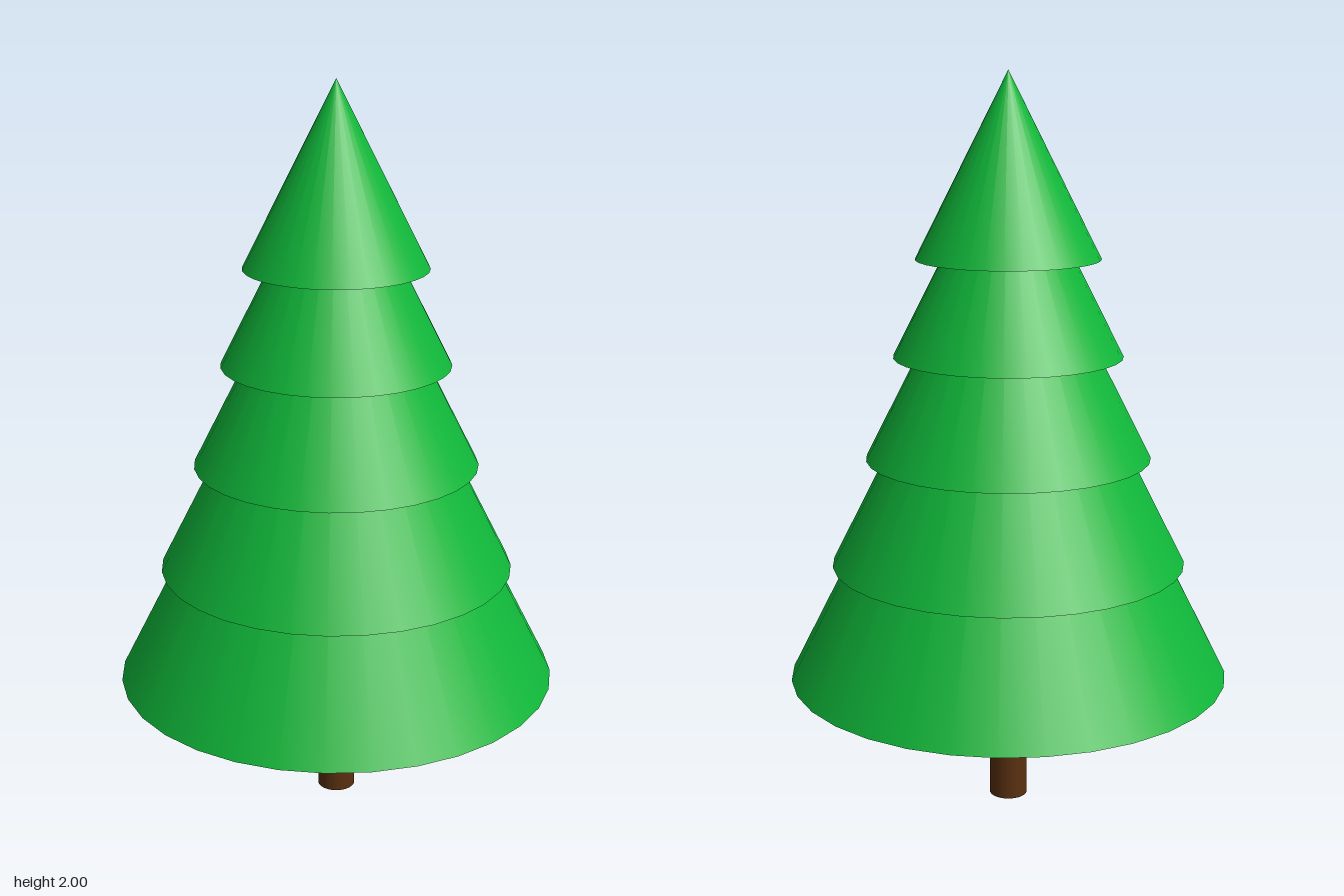
import * as THREE from 'three';

export function createModel() {
  const tree = new THREE.Group();
  tree.name = 'pineTree';
  const bark = new THREE.MeshStandardMaterial({ color: 0x5a3010 });
  const needles = new THREE.MeshStandardMaterial({ color: 0x10b83a });

  // Trunk, reaching just inside the lowest tier
  const trunkHeight = 0.38;
  const trunk = new THREE.Mesh(new THREE.CylinderGeometry(0.052, 0.052, trunkHeight, 32), bark);
  trunk.name = 'trunk';
  trunk.position.y = trunkHeight / 2;
  tree.add(trunk);

  // Overlapping foliage cones, each 0.8 times the size of the one below
  const bases = [0.37, 0.688, 0.98, 1.256, 1.515];
  bases.forEach((base, i) => {
    const radius = 0.6 * 0.8 ** i;
    const height = (2 - bases[4]) / 0.8 ** (4 - i);
    const tier = new THREE.Mesh(new THREE.ConeGeometry(radius, height, 32), needles);
    tier.name = `foliageTier${i + 1}`;
    tier.position.y = base + height / 2;
    tree.add(tier);
  });

  return tree;
}
